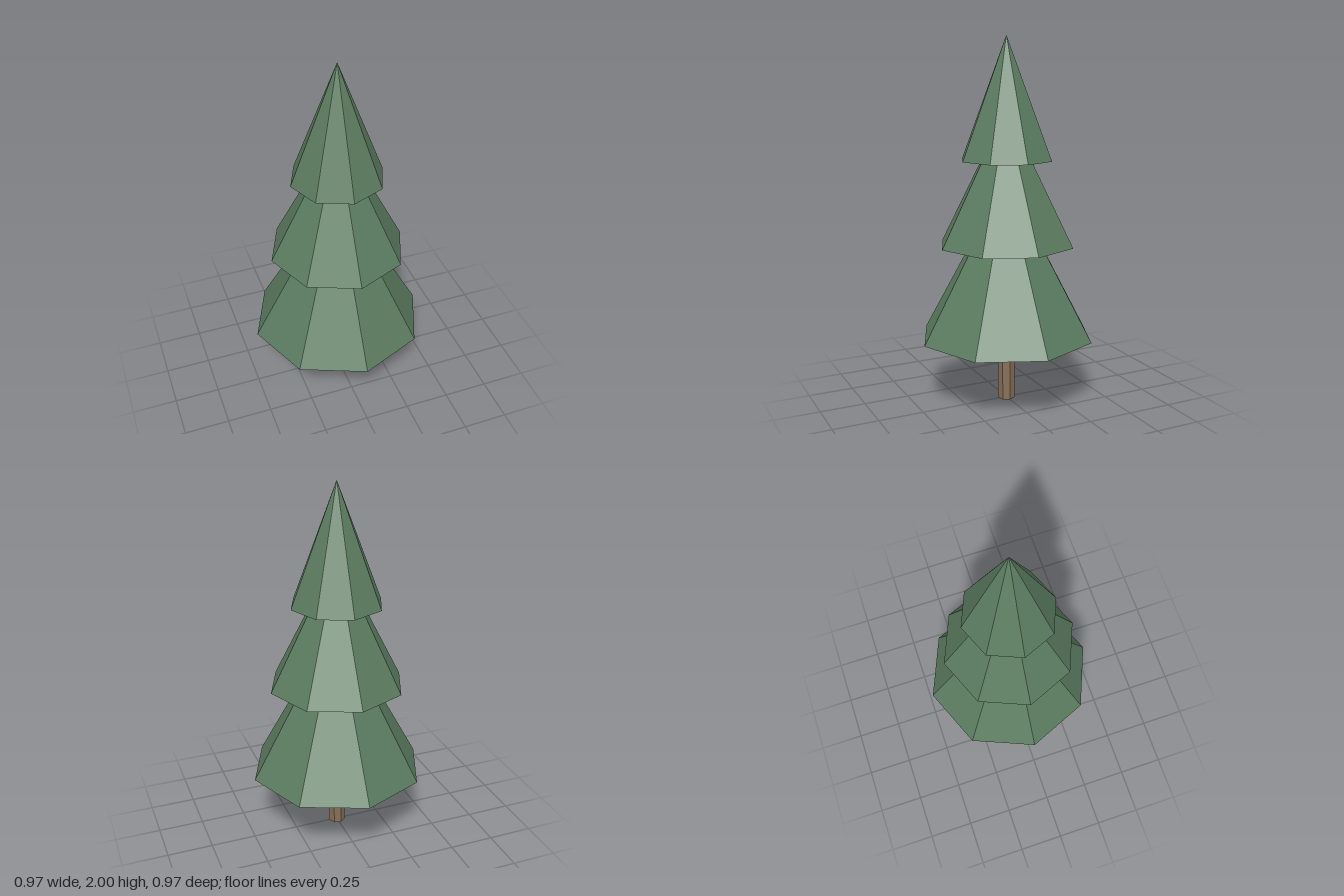
import * as THREE from 'three';

export function createModel() {
  const tree = new THREE.Group();
  tree.name = 'pineTree';

  const needles = new THREE.MeshStandardMaterial({ color: 0x5c7d61, flatShading: true });
  needles.name = 'needleGreen';
  const bark = new THREE.MeshStandardMaterial({ color: 0x86705a, flatShading: true });
  bark.name = 'barkBrown';

  // Seven-sided trunk, one edge facing +x
  const trunk = new THREE.Mesh(new THREE.CylinderGeometry(0.047, 0.047, 0.45, 7), bark);
  trunk.name = 'trunk';
  trunk.position.y = 0.225;
  trunk.rotation.y = Math.PI / 2;
  tree.add(trunk);

  // Overlapping eight-sided cones: radius, base height, tip height
  const tiers = [
    ['lowerBranches', 0.486, 0.37, 1.25],
    ['middleBranches', 0.377, 0.885, 1.62],
    ['upperBranches', 0.255, 1.345, 2],
  ];
  for (const [name, radius, base, tip] of tiers) {
    const cone = new THREE.Mesh(new THREE.ConeGeometry(radius, tip - base, 8), needles);
    cone.name = name;
    cone.position.y = (base + tip) / 2;
    tree.add(cone);
  }
  return tree;
}
